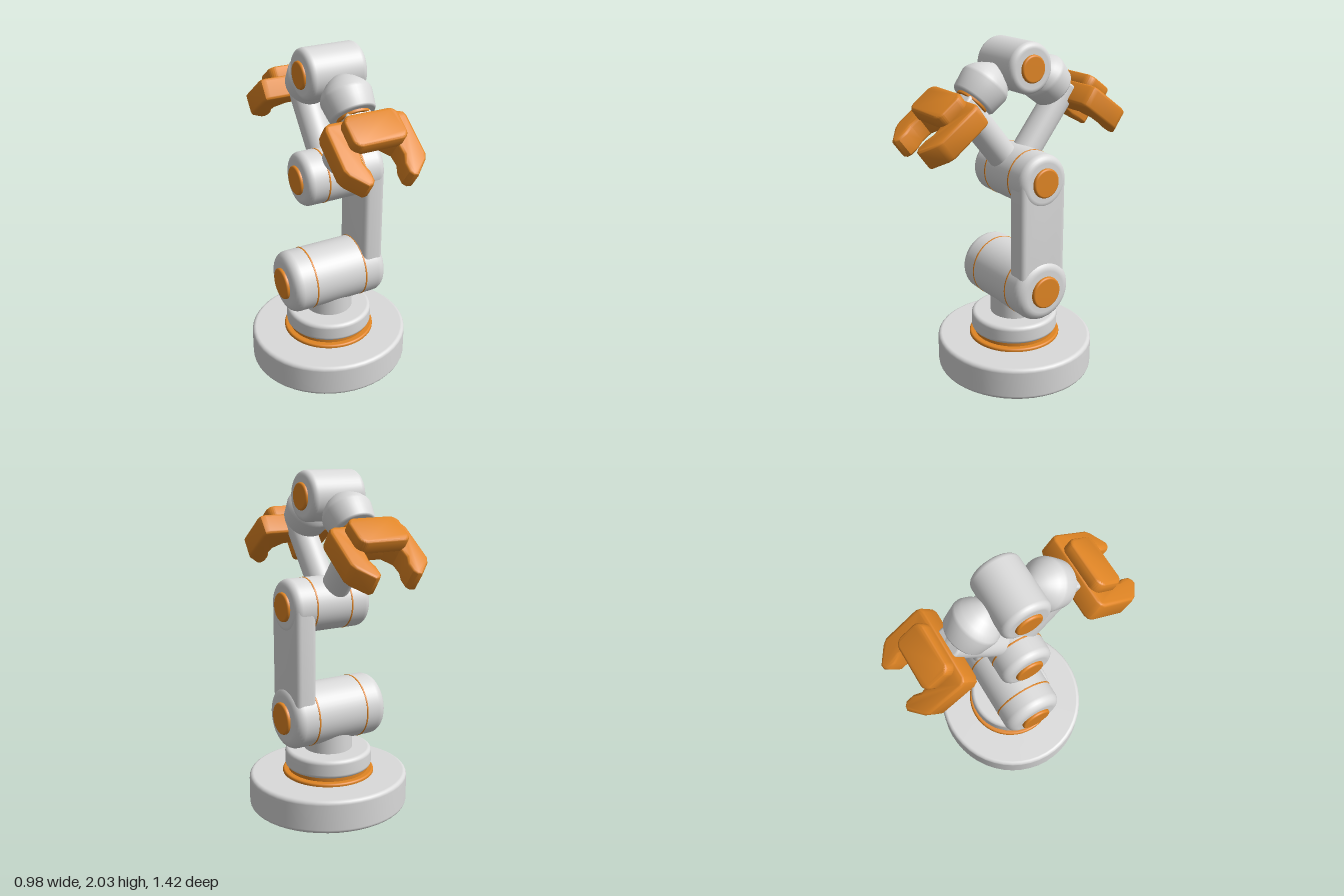
import * as THREE from 'three';
import { toCreasedNormals } from 'three/addons/utils/BufferGeometryUtils.js';

const shell = new THREE.MeshStandardMaterial({ color: 0xdadada });
shell.name = 'light grey shell';
const accent = new THREE.MeshStandardMaterial({ color: 0xe08524 });
accent.name = 'orange accent';

function add(parent, name, geometry, material) {
  const mesh = new THREE.Mesh(geometry, material);
  mesh.name = name;
  parent.add(mesh);
  return mesh;
}

// Upright drum from y0 to y1 with rounded rims
function drum(r, y0, y1, bevel, steps = 6) {
  const pts = [new THREE.Vector2(0, y0)];
  for (const [y, start] of [[y0 + bevel, -Math.PI / 2], [y1 - bevel, 0]]) {
    for (let i = 0; i <= steps; i++) {
      const a = start + (i / steps) * Math.PI / 2;
      pts.push(new THREE.Vector2(r - bevel + bevel * Math.cos(a), y + bevel * Math.sin(a)));
    }
  }
  pts.push(new THREE.Vector2(0, y1));
  return new THREE.LatheGeometry(pts, 48);
}

// The same drum lying along x
const drumX = (r, x0, x1, bevel) => drum(r, x0, x1, bevel).rotateZ(-Math.PI / 2).scale(1, 1, 1);

// Extruded plate, bevelled inwards so that the outline keeps its size
function plate(shape, depth, bevel) {
  const g = new THREE.ExtrudeGeometry(shape, {
    depth: depth - 2 * bevel, bevelThickness: bevel, bevelSize: bevel,
    bevelOffset: -bevel, bevelSegments: 4, curveSegments: 16,
  });
  g.translate(0, 0, bevel);
  return toCreasedNormals(g, 0.6);
}

function roundedRect(x0, y0, x1, y1, r) {
  const s = new THREE.Shape();
  s.moveTo(x0 + r, y0);
  s.lineTo(x1 - r, y0);
  s.absarc(x1 - r, y0 + r, r, -Math.PI / 2, 0);
  s.lineTo(x1, y1 - r);
  s.absarc(x1 - r, y1 - r, r, 0, Math.PI / 2);
  s.lineTo(x0 + r, y1);
  s.absarc(x0 + r, y1 - r, r, Math.PI / 2, Math.PI);
  s.lineTo(x0, y0 + r);
  s.absarc(x0 + r, y0 + r, r, Math.PI, Math.PI * 1.5);
  return s;
}

// Horizontal joint: body drum, orange end caps and orange seams
function joint(name, y, r, x0, x1, bevel, capR, cap, seams) {
  const g = new THREE.Group();
  g.name = name;
  g.position.y = y;
  add(g, name + 'Body', drumX(r, x0, x1, bevel), shell);
  add(g, name + 'Caps', drumX(capR, x0 - cap, x1 + cap, 0.012), accent);
  for (const x of seams) add(g, name + 'Seam', drumX(r + 0.002, x - 0.005, x + 0.005, 0.002), accent);
  return g;
}

// Claw: a C-shaped plate with a raised pad, local y runs along the fingers
function gripper() {
  const g = new THREE.Group();
  g.name = 'gripper';
  g.rotation.x = Math.atan2(0.81, -0.59);
  const half = [[0.06, -0.56], [0.112, -0.51], [0.118, -0.45], [0.1, -0.4], [0.1, -0.345],
    [0.118, -0.322], [0.145, -0.317], [0.225, -0.395], [0.243, -0.43], [0.243, -0.67],
    [0.232, -0.698], [0.205, -0.71]];
  const outline = [...half, ...half.map(([x, y]) => [-x, y]).reverse()];
  const claw = new THREE.Shape(outline.map(([x, y]) => new THREE.Vector2(x, y)));
  add(g, 'claw', plate(claw, 0.133, 0.018), accent).position.z = -1.65;
  add(g, 'clawPad', plate(roundedRect(-0.16, -0.7, 0.16, -0.505, 0.05), 0.09, 0.018), accent).position.z = -1.715;
  return g;
}

// One side of the head: forearm, wrist housing and gripper
function side(name) {
  const g = new THREE.Group();
  g.name = name;

  const arm = add(g, 'forearm', drum(0.085, 0, 0.6, 0.015), shell);
  arm.position.y = 1.26;
  arm.rotation.x = Math.atan2(0.62, 0.78);

  const wrist = new THREE.Group();
  wrist.name = 'wrist';
  wrist.position.set(0, 1.71, 0.283);
  wrist.rotation.x = Math.PI * 0.75;
  const profile = [[0, -0.245], [0.045, -0.233], [0.09, -0.2], [0.125, -0.162], [0.143, -0.13],
    [0.146, -0.112], [0.14, -0.07], [0.131, -0.012], [0.121, 0], [0, 0]];
  add(wrist, 'wristHousing', new THREE.LatheGeometry(profile.map(([x, y]) => new THREE.Vector2(x, y)), 40), shell);
  add(wrist, 'wristRing', drum(0.095, -0.01, 0.015, 0.005), accent);
  add(wrist, 'wristNeck', drum(0.08, 0, 0.1, 0.01), shell);
  g.add(wrist);

  // Short neck joining the wrist to the top hub
  const neck = add(g, 'hubNeck', drum(0.09, 0, 0.23, 0.01), shell);
  neck.position.y = 1.87;
  neck.rotation.x = Math.atan2(0.22, -0.11);

  g.add(gripper());
  return g;
}

export function createModel() {
  const model = new THREE.Group();
  model.name = 'robotArm';

  // Base and turntable
  add(model, 'base', drum(0.49, 0, 0.203, 0.025), shell).scale.z = 0.965;
  add(model, 'turntableRing', drum(0.28, 0.19, 0.222, 0.012), accent);
  add(model, 'turntableStep', drum(0.245, 0.2, 0.25, 0.008), accent);
  add(model, 'collar', drum(0.265, 0.243, 0.357, 0.025), shell);
  add(model, 'neck', drum(0.147, 0.34, 0.55, 0.01), shell);

  // Shoulder, elbow and top hub
  model.add(joint('shoulder', 0.59, 0.19, -0.31, 0.312, 0.06, 0.097, 0.02, [-0.165, 0.165]));
  model.add(joint('elbow', 1.26, 0.16, -0.205, 0.3, 0.045, 0.086, 0.018, [-0.07, 0.16]));
  model.add(joint('topHub', 1.88, 0.145, -0.175, 0.175, 0.035, 0.078, 0.016, []));

  // Link between shoulder and elbow
  const link = add(model, 'upperLink',
    plate(roundedRect(-0.156, 0.5, 0.156, 1.41, 0.15), 0.13, 0.03), shell);
  link.rotation.y = Math.PI / 2;
  link.position.x = 0.165;

  // Matching forearms, wrists and grippers to the front and back
  model.add(side('frontSide'));
  const back = side('backSide');
  back.rotation.y = Math.PI;
  model.add(back);

  return model;
}
